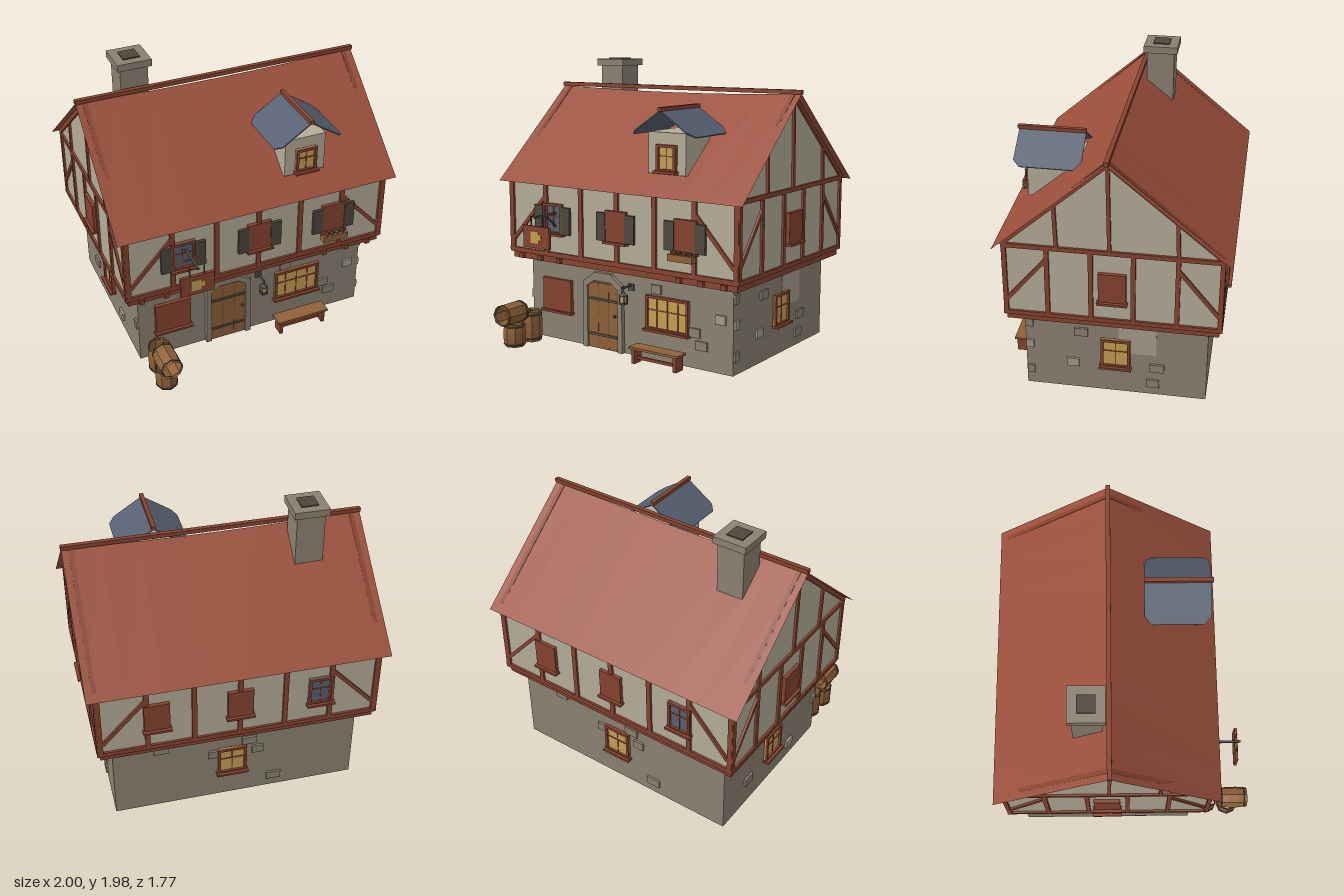
import * as THREE from 'three';

const mat = (name, color, side = THREE.FrontSide) => {
  const m = new THREE.MeshStandardMaterial({ color, side });
  m.name = name;
  return m;
};

export function createModel() {
  const house = new THREE.Group();
  house.name = 'timberedHouse';
  const roofRed = mat('roofRed', 0x9a4f3b, THREE.DoubleSide);
  const timber = mat('timberRed', 0x86432f);
  const plaster = mat('plaster', 0xb4ac98);
  const stone = mat('stone', 0x8b8172, THREE.DoubleSide);
  const paleStone = mat('paleStone', 0xa59d8c);
  const wood = mat('wood', 0x8f6139, THREE.DoubleSide);
  const amber = mat('amberGlass', 0xc59f52);
  const slate = mat('slate', 0x566070, THREE.DoubleSide);
  const dark = mat('darkShutter', 0x4e483e);
  const iron = mat('iron', 0x50504c);

  const add = (parent, name, geo, m, x = 0, y = 0, z = 0) => {
    const mesh = new THREE.Mesh(geo, m);
    mesh.name = name;
    mesh.position.set(x, y, z);
    parent.add(mesh);
    return mesh;
  };
  const box = (p, name, m, w, h, d, x, y, z) => add(p, name, new THREE.BoxGeometry(w, h, d), m, x, y, z);
  const group = (p, name, x = 0, y = 0, z = 0, ry = 0) => {
    const g = new THREE.Group();
    g.name = name;
    g.position.set(x, y, z);
    g.rotation.y = ry;
    p.add(g);
    return g;
  };
  // straight timber lying on a wall, from (u1, v1) to (u2, v2)
  const beam = (wall, u1, v1, u2, v2, w = 0.033, d = 0.03, m = timber, name = 'beam') => {
    const b = box(wall, name, m, Math.hypot(u2 - u1, v2 - v1), w, d, (u1 + u2) / 2, (v1 + v2) / 2, 0);
    b.rotation.z = Math.atan2(v2 - v1, u2 - u1);
    return b;
  };
  // window with frame, sill and either glazing bars or a closed shutter
  const win = (wall, u, v, w, h, glass, cols = 2) => {
    const g = group(wall, 'window', u, v, 0);
    if (!glass) box(g, 'closedShutter', timber, w, h, 0.05, 0, 0, 0);
    else {
      box(g, 'pane', glass, w, h, 0.008, 0, 0, 0.006);
      for (const s of [-1, 1]) {
        box(g, 'frameSide', timber, 0.018, h, 0.04, s * (w / 2 - 0.009), 0, 0.005);
        box(g, 'frameRail', timber, w, 0.018, 0.04, 0, s * (h / 2 - 0.009), 0.005);
      }
      for (let i = 1; i < cols; i++) box(g, 'mullion', timber, 0.008, h, 0.012, (i / cols - 0.5) * w, 0, 0.008);
      box(g, 'transom', timber, w, 0.008, 0.012, 0, h * 0.08, 0.008);
    }
    box(g, 'sill', timber, w + 0.02, 0.016, 0.07, 0, -h / 2, 0.01);
    return g;
  };

  // ground floor: four walls, open below
  const baseGeo = new THREE.BoxGeometry(1.685, 0.58, 1.21);
  const idx = Array.from(baseGeo.index.array);
  baseGeo.setIndex([...idx.slice(0, 12), ...idx.slice(24)]);
  add(house, 'stoneWalls', baseGeo, stone, 0.003, 0.29, -0.145);
  box(house, 'floorPlate', timber, 1.86, 0.045, 1.375, 0, 0.6, -0.133);

  // upper floor and gables
  box(house, 'upperWalls', plaster, 1.87, 0.52, 1.38, 0, 0.88, -0.135);
  const tri = new THREE.Shape([[-0.555, 1.14], [0.825, 1.14], [0.11, 1.735]].map(p => new THREE.Vector2(...p)));
  const gable = add(house, 'gable', new THREE.ExtrudeGeometry(tri, { depth: 1.87, bevelEnabled: false }), plaster, -0.935);
  gable.rotation.y = Math.PI / 2;

  // wall frames: local x runs along the wall, local z points outward
  const low = {
    front: group(house, 'frontBase', 0, 0, 0.46),
    back: group(house, 'backBase', 0, 0, -0.75, Math.PI),
    right: group(house, 'sideBase', 0.845, 0, 0, Math.PI / 2),
    left: group(house, 'otherSideBase', -0.84, 0, 0, -Math.PI / 2),
  };
  const up = {
    front: group(house, 'frontFrame', 0, 0, 0.555),
    back: group(house, 'backFrame', 0, 0, -0.825, Math.PI),
    right: group(house, 'sideFrame', 0.935, 0, 0, Math.PI / 2),
    left: group(house, 'otherSideFrame', -0.935, 0, 0, -Math.PI / 2),
  };
  for (const w of [up.front, up.back]) {
    for (const u of [-0.925, -0.615, -0.305, 0, 0.305, 0.615, 0.925]) beam(w, u, 0.63, u, 1.14);
    for (const v of [0.637, 1.135]) beam(w, -0.94, v, 0.94, v);
    for (const s of [-1, 1]) beam(w, s * 0.91, 0.72, s * 0.61, 1.05, 0.025);
  }
  for (const [w, s] of [[up.right, -1], [up.left, 1]]) {
    for (const z of [0.552, 0.28, 0, -0.27, -0.55, -0.822]) beam(w, s * z, 0.63, s * z, 1.14, 0.03);
    for (const v of [0.637, 1.14]) beam(w, s * 0.57, v, s * -0.84, v, 0.03);
    beam(w, s * 0.55, 0.73, s * 0.28, 1.06, 0.025);
    beam(w, s * -0.82, 0.73, s * -0.55, 1.06, 0.025);
    for (const [z, v] of [[0.215, 1.45], [-0.12, 1.74], [-0.55, 1.38]]) beam(w, s * z, 1.14, s * (z + 0.01), v, 0.024);
    beam(w, s * 0.57, 1.145, s * -0.11, 1.75, 0.03);
    beam(w, s * -0.84, 1.145, s * -0.11, 1.75, 0.03);
    win(w, s * -0.138, 0.885, 0.178, 0.215);
  }
  for (const x of [-0.84, -0.67, -0.5, 0.5, 0.67, 0.84]) box(up.front, 'joistEnd', timber, 0.035, 0.035, 0.05, x, 0.6, 0);

  // upper windows, front with open shutters
  for (const [x, glass] of [[-0.545, slate], [0, null], [0.552, null]]) {
    win(up.front, x, 0.89, 0.17, 0.215, glass);
    win(up.back, -x, 0.89, 0.17, 0.215, glass);
    for (const s of [-1, 1]) box(up.front, 'openShutter', dark, 0.075, 0.19, 0.02, x + s * 0.118, 0.885, 0.02);
  }
  box(up.front, 'planter', wood, 0.185, 0.045, 0.05, 0.55, 0.757, 0.055);
  for (let i = 0; i < 4; i++) add(up.front, 'plant', new THREE.IcosahedronGeometry(0.02, 0), i % 2 ? dark : timber, 0.49 + i * 0.04, 0.788, 0.055);

  // ground floor windows
  win(low.front, 0.345, 0.325, 0.34, 0.235, amber, 4);
  win(low.front, -0.595, 0.325, 0.255, 0.235);
  win(low.back, -0.03, 0.32, 0.2, 0.22, amber);
  win(low.right, 0.145, 0.315, 0.195, 0.22, amber);
  win(low.left, -0.145, 0.315, 0.195, 0.22, amber);
  box(low.right, 'plasterPatch', paleStone, 0.25, 0.26, 0.008, 0.29, 0.45, 0);

  // raised wall stones: wall, u, v, width, pale
  const stones = [
    ['front', 0.255, 0.485, 0.08], ['front', 0.755, 0.357, 0.075, 1], ['front', 0.56, 0.24, 0.08], ['front', 0.61, 0.16, 0.09],
    ['right', -0.085, 0.46, 0.09], ['right', -0.14, 0.21, 0.08, 1], ['right', 0.42, 0.22, 0.1], ['right', 0.395, 0.093, 0.085],
    ['right', -0.43, 0.12, 0.05], ['right', -0.43, 0.33, 0.05, 1], ['right', -0.43, 0.5, 0.05],
    ['left', 0.43, 0.3, 0.05], ['left', 0.42, 0.52, 0.05], ['left', -0.45, 0.2, 0.09], ['left', 0.1, 0.12, 0.08, 1],
    ['back', -0.52, 0.51, 0.1], ['back', 0.27, 0.1, 0.1], ['back', 0.09, 0.47, 0.1], ['back', 0.15, 0.38, 0.08], ['back', -0.16, 0.39, 0.07],
  ];
  for (const [w, u, v, width, pale] of stones) box(low[w], 'wallStone', pale ? paleStone : stone, width, 0.06, 0.03, u, v, 0);

  // door with stone arch
  const door = group(low.front, 'door', -0.185);
  box(door, 'doorPanel', wood, 0.27, 0.465, 0.02, 0, 0.233, 0.005);
  for (const x of [-0.045, 0.045]) box(door, 'plankGap', dark, 0.003, 0.46, 0.004, x, 0.233, 0.014);
  for (const y of [0.1, 0.35]) box(door, 'strap', iron, 0.24, 0.016, 0.01, 0, y, 0.018);
  add(door, 'knob', new THREE.IcosahedronGeometry(0.012, 0), iron, 0.105, 0.25, 0.025);
  const arch = [[-0.17, 0], [-0.165, 0.47], [-0.095, 0.515], [-0.07, 0.54], [0.07, 0.54], [0.095, 0.515], [0.165, 0.47], [0.17, 0],
    [0.13, 0], [0.13, 0.44], [0.07, 0.48], [-0.07, 0.48], [-0.13, 0.44], [-0.13, 0]].map(p => new THREE.Vector2(...p));
  add(door, 'doorArch', new THREE.ExtrudeGeometry(new THREE.Shape(arch), { depth: 0.03, bevelEnabled: false }), stone);

  // lantern
  const lamp = group(low.front, 'lantern', 0.047);
  box(lamp, 'lampPlate', iron, 0.045, 0.045, 0.012, 0, 0.47, 0.005);
  box(lamp, 'lampArm', iron, 0.012, 0.012, 0.11, 0, 0.483, 0.055);
  box(lamp, 'lampGlass', amber, 0.03, 0.05, 0.03, 0, 0.405, 0.095);
  box(lamp, 'lampBase', iron, 0.046, 0.012, 0.046, 0, 0.378, 0.095);
  add(lamp, 'lampCap', new THREE.ConeGeometry(0.035, 0.035, 4), iron, 0, 0.448, 0.095);
  for (const x of [-1, 1]) for (const z of [-1, 1]) box(lamp, 'lampBar', iron, 0.007, 0.06, 0.007, x * 0.018, 0.405, 0.095 + z * 0.018);

  // bench
  const bench = group(house, 'bench', 0.335, 0, 0.575);
  box(bench, 'seat', wood, 0.39, 0.016, 0.105, 0, 0.108, 0);
  box(bench, 'stretcher', timber, 0.33, 0.02, 0.015, 0, 0.035, 0);
  for (const s of [-1, 1]) box(bench, 'benchLeg', timber, 0.025, 0.1, 0.08, s * 0.165, 0.05, 0);

  // hanging sign
  const sign = group(up.front, 'hangingSign', -0.525);
  box(sign, 'signArm', iron, 0.014, 0.014, 0.23, 0, 0.932, 0.115);
  const strut = box(sign, 'signStrut', iron, 0.012, 0.012, 0.13, 0, 0.885, 0.06);
  strut.rotation.x = -0.75;
  box(sign, 'signBoard', timber, 0.23, 0.15, 0.02, 0, 0.795, 0.205);
  for (const s of [-1, 1]) {
    box(sign, 'signChain', iron, 0.008, 0.07, 0.008, s * 0.05, 0.9, 0.205);
    box(sign, 'cupBody', amber, 0.07, 0.08, 0.008, -0.01, 0.795, 0.205 + s * 0.011);
    box(sign, 'cupHandle', amber, 0.025, 0.04, 0.008, 0.035, 0.797, 0.205 + s * 0.011);
  }

  // open eight-sided barrels with hoops
  const barrel = (x, y, z, r, h) => {
    const g = group(house, 'barrel', x, y, z);
    const pts = [[0.9, -0.5], [1, -0.15], [1, 0.15], [0.9, 0.5]].map(p => new THREE.Vector2(p[0] * r, p[1] * h));
    const geo = new THREE.LatheGeometry(pts, 8).toNonIndexed();
    geo.computeVertexNormals();
    add(g, 'staves', geo, wood);
    for (const s of [-1, 1]) {
      const hoop = add(g, 'hoop', new THREE.TorusGeometry(r * 0.95, 0.005, 4, 8), iron, 0, s * h * 0.4, 0);
      hoop.rotation.x = Math.PI / 2;
    }
    return g;
  };
  barrel(-0.745, 0.11, 0.595, 0.08, 0.215);
  barrel(-0.755, 0.08, 0.755, 0.078, 0.16);
  const keg = barrel(-0.755, 0.235, 0.783, 0.078, 0.21);
  keg.rotation.x = Math.PI / 2;
  add(keg, 'kegBung', new THREE.CylinderGeometry(0.038, 0.038, 0.03, 8), wood, 0, -0.07, 0);

  // main roof sheet with a slightly sagging ridge
  let roofGeo = new THREE.PlaneGeometry(2, 2, 8, 2);
  const pos = roofGeo.attributes.position;
  for (let i = 0; i < pos.count; i++) {
    const x = pos.getX(i) * 0.995, t = pos.getY(i);
    const ridge = 1.745 + 0.022 * x * x;
    pos.setXYZ(i, x, THREE.MathUtils.lerp(ridge, 1.128, Math.abs(t)), t > 0 ? -0.11 - 0.775 * t : -0.11 - 0.73 * t);
  }
  roofGeo = roofGeo.toNonIndexed();
  roofGeo.computeVertexNormals();
  add(house, 'roof', roofGeo, roofRed);
  box(house, 'ridgeBeam', timber, 2, 0.028, 0.03, 0, 1.778, -0.11);

  // chimney
  const chimney = group(house, 'chimney', -0.58, 0, -0.245);
  box(chimney, 'chimneyShaft', stone, 0.19, 0.5, 0.19, 0, 1.68, 0);
  box(chimney, 'chimneyCap', stone, 0.235, 0.048, 0.235, 0, 1.943, 0);
  box(chimney, 'flue', dark, 0.115, 0.008, 0.115, 0, 1.971, 0);

  // dormer
  const dormer = group(house, 'dormer', 0.355, 0, 0);
  box(dormer, 'dormerWalls', plaster, 0.29, 0.27, 0.4, 0, 1.395, 0.29);
  win(group(dormer, 'dormerFront', 0, 0, 0.49), 0.005, 1.365, 0.15, 0.175, amber);
  const leaf = new THREE.Shape([[0, -0.22], [0.24, -0.22], [0.288, -0.175], [0.288, 0.175], [0.24, 0.22], [0, 0.22]].map(p => new THREE.Vector2(...p)));
  for (const ry of [0, Math.PI]) {
    const half = group(dormer, 'dormerSlope', 0, 1.668, 0.345, ry);
    const geo = new THREE.ExtrudeGeometry(leaf, { depth: 0.008, bevelEnabled: false }).rotateX(-Math.PI / 2);
    add(half, 'slateSheet', geo, slate).rotation.z = -Math.atan2(0.16, 0.24);
  }
  box(dormer, 'dormerRidge', timber, 0.028, 0.025, 0.45, 0, 1.682, 0.35);
  return house;
}
